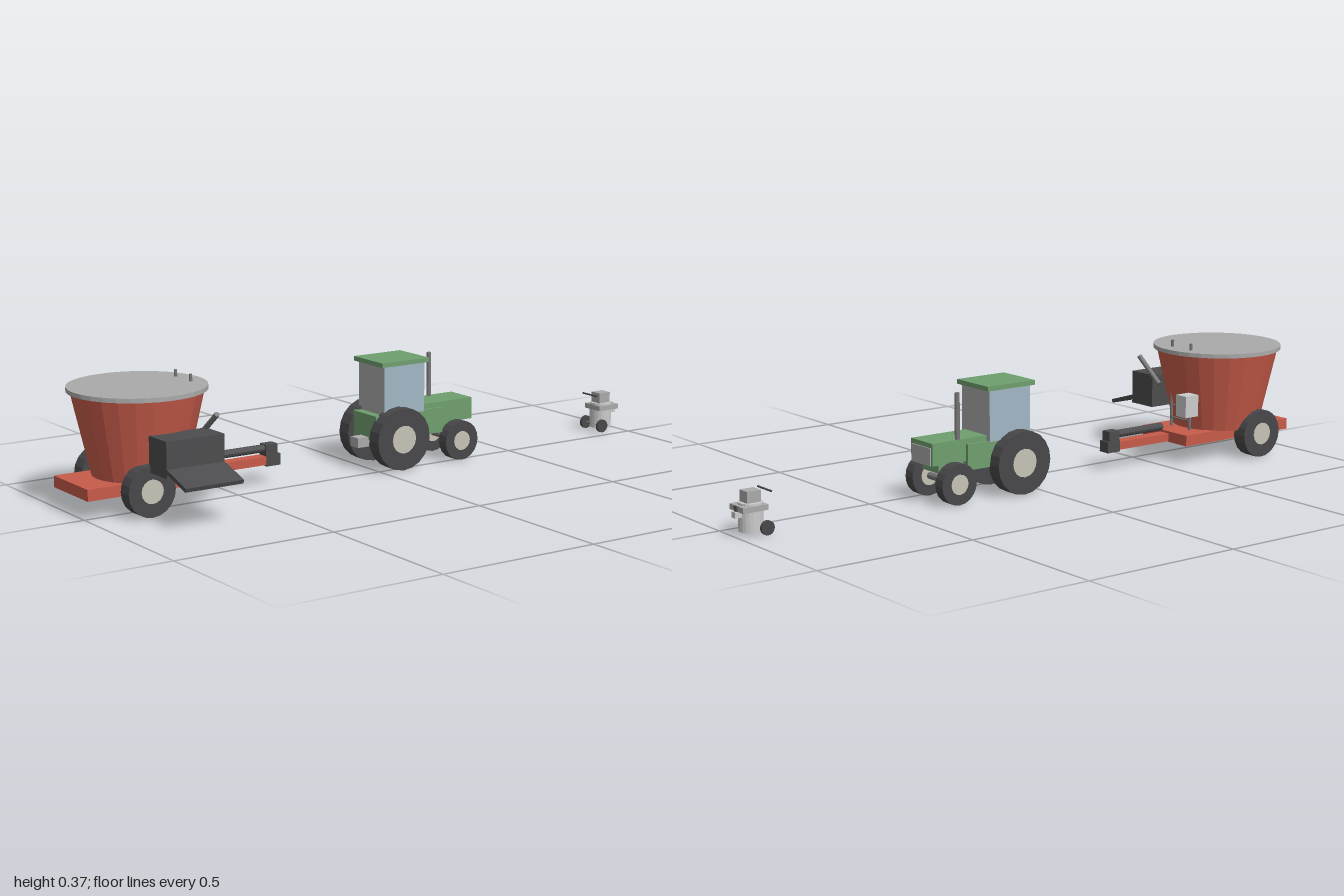
import * as THREE from 'three';

const material = (color) => new THREE.MeshStandardMaterial({ color, flatShading: true });
const red = material(0xc75b4a), green = material(0x6f9f6f), dark = material(0x4c4c4e);
const tyre = material(0x48484a), hub = material(0xc6c3b6), grey = material(0xaaaaaa);
const steel = material(0x777777), glass = material(0xa3b7c6), pale = material(0xcccccc);
const MID = -0.078; // shared centre line in z

function add(parent, name, geometry, mat) {
  const mesh = new THREE.Mesh(geometry, mat);
  mesh.name = name;
  parent.add(mesh);
  return mesh;
}

// Box given by its minimum and maximum on each axis
function box(parent, name, mat, [x0, x1], [y0, y1], [z0, z1]) {
  const mesh = add(parent, name, new THREE.BoxGeometry(x1 - x0, y1 - y0, z1 - z0), mat);
  mesh.position.set((x0 + x1) / 2, (y0 + y1) / 2, (z0 + z1) / 2);
  return mesh;
}

// Round bar between two points
function rod(parent, name, mat, from, to, r, sides = 10) {
  const a = new THREE.Vector3(...from), b = new THREE.Vector3(...to);
  const dir = b.clone().sub(a);
  const mesh = add(parent, name, new THREE.CylinderGeometry(r, r, dir.length(), sides), mat);
  mesh.position.copy(a).add(b).multiplyScalar(0.5);
  mesh.quaternion.setFromUnitVectors(new THREE.Vector3(0, 1, 0), dir.normalize());
  return mesh;
}

const around = (half) => [MID - half, MID + half];

// Mirrored pair of wheels with hubs and an axle
function wheelPair(parent, name, x, r, inner, outer, hubR) {
  for (const side of [-1, 1]) {
    const wheel = new THREE.Group();
    wheel.name = name;
    parent.add(wheel);
    const z = (d) => MID + side * d;
    rod(wheel, 'tyre', tyre, [x, r, z(inner)], [x, r, z(outer)], r, 20);
    if (hubR) rod(wheel, 'hub', hub, [x, r, z(inner - 0.002)], [x, r, z(outer + 0.002)], hubR, 16);
  }
  rod(parent, name + 'Axle', steel, [x, r, MID - inner], [x, r, MID + inner], r * 0.18);
}

function feedMixer() {
  const g = new THREE.Group();
  g.name = 'feedMixer';
  const cx = -0.782;
  box(g, 'chassis', red, [-1, -0.565], [0.058, 0.092], around(0.103));
  box(g, 'drawbar', red, [-0.565, -0.32], [0.06, 0.085], around(0.019));
  box(g, 'hitch', dark, [-0.365, -0.317], [0.055, 0.09], around(0.02));
  rod(g, 'driveShaft', dark, [-0.55, 0.107, MID], [-0.36, 0.107, MID], 0.012);
  box(g, 'shaftYoke', dark, [-0.365, -0.325], [0.09, 0.12], around(0.017));

  // Conical tub with a flat cover
  add(g, 'tub', new THREE.CylinderGeometry(0.192, 0.136, 0.246, 24), red).position.set(cx, 0.213, MID);
  add(g, 'tubCover', new THREE.CylinderGeometry(0.202, 0.202, 0.013, 32), grey).position.set(cx, 0.341, MID);

  // Ladder running up the front of the tub
  for (const s of [-1, 1]) {
    rod(g, 'ladderRail', steel, [-0.632, 0.09, MID + s * 0.043], [-0.632, 0.368, MID + s * 0.043], 0.005, 8);
  }
  for (const y of [0.12, 0.16]) {
    rod(g, 'ladderRung', steel, [-0.632, y, MID - 0.043], [-0.632, y, MID + 0.043], 0.003, 6);
  }

  // Side discharge with sloping chute and hydraulic ram
  box(g, 'dischargeBox', dark, [-0.835, -0.65], [0.13, 0.235], [0.08, 0.178]);
  const chute = box(g, 'chute', dark, [-0.835, -0.65], [0.129, 0.141], [0.168, 0.282]);
  chute.rotation.x = 0.3;
  rod(g, 'hydraulicRam', steel, [-0.656, 0.286, 0.151], [-0.656, 0.209, 0.053], 0.008);
  box(g, 'controlBox', pale, [-0.607, -0.555], [0.15, 0.218], [-0.187, -0.142]);
  wheelPair(g, 'mixerWheel', -0.83, 0.075, 0.117, 0.164, 0.035);
  return g;
}

function tractor() {
  const g = new THREE.Group();
  g.name = 'tractor';
  box(g, 'body', green, [0, 0.25], [0.09, 0.168], around(0.0625));
  box(g, 'hood', green, [0.17, 0.37], [0.117, 0.184], around(0.053));
  box(g, 'grille', grey, [0.365, 0.374], [0.117, 0.17], around(0.047));
  box(g, 'frontFrame', green, [0.25, 0.34], [0.09, 0.118], around(0.04));
  box(g, 'rearHitch', grey, [-0.038, 0.002], [0.068, 0.098], around(0.02));

  // Cab with side windows and an overhanging roof
  box(g, 'cab', grey, [0.027, 0.175], [0.165, 0.32], around(0.066));
  for (const s of [-1, 1]) {
    box(g, 'sideWindow', glass, [0.027, 0.175], [0.168, 0.319], [MID + s * 0.067 - 0.0015, MID + s * 0.067 + 0.0015]);
  }
  box(g, 'roof', green, [0.013, 0.187], [0.319, 0.333], around(0.076));
  rod(g, 'exhaust', steel, [0.275, 0.18, MID - 0.045], [0.275, 0.322, MID - 0.045], 0.0075, 12);
  wheelPair(g, 'rearWheel', 0.074, 0.096, 0.057, 0.105, 0.043);
  wheelPair(g, 'frontWheel', 0.302, 0.0615, 0.057, 0.093, 0.03);
  return g;
}

function milkCart() {
  const g = new THREE.Group();
  g.name = 'cart';
  const cx = 0.945;
  add(g, 'canister', new THREE.CylinderGeometry(0.035, 0.035, 0.082, 20), pale).position.set(cx, 0.051, MID);
  box(g, 'deck', grey, [0.91, 0.99], [0.07, 0.086], around(0.037));
  box(g, 'motorBox', grey, [0.923, 0.967], [0.086, 0.125], around(0.02));
  box(g, 'spout', pale, [0.978, 1], [0.053, 0.07], around(0.01));
  for (const s of [-1, 1]) {
    rod(g, 'spoutPipe', dark, [0.992, 0.068, MID + s * 0.004], [0.992, 0.086, MID + s * 0.004], 0.003, 6);
  }
  rod(g, 'handle', dark, [0.899, 0.121, MID - 0.036], [0.899, 0.121, MID + 0.036], 0.003, 8);
  wheelPair(g, 'cartWheel', 0.917, 0.021, 0.036, 0.045, 0);
  return g;
}

export function createModel() {
  const model = new THREE.Group();
  model.name = 'farmMachinery';
  model.add(feedMixer(), tractor(), milkCart());
  return model;
}
